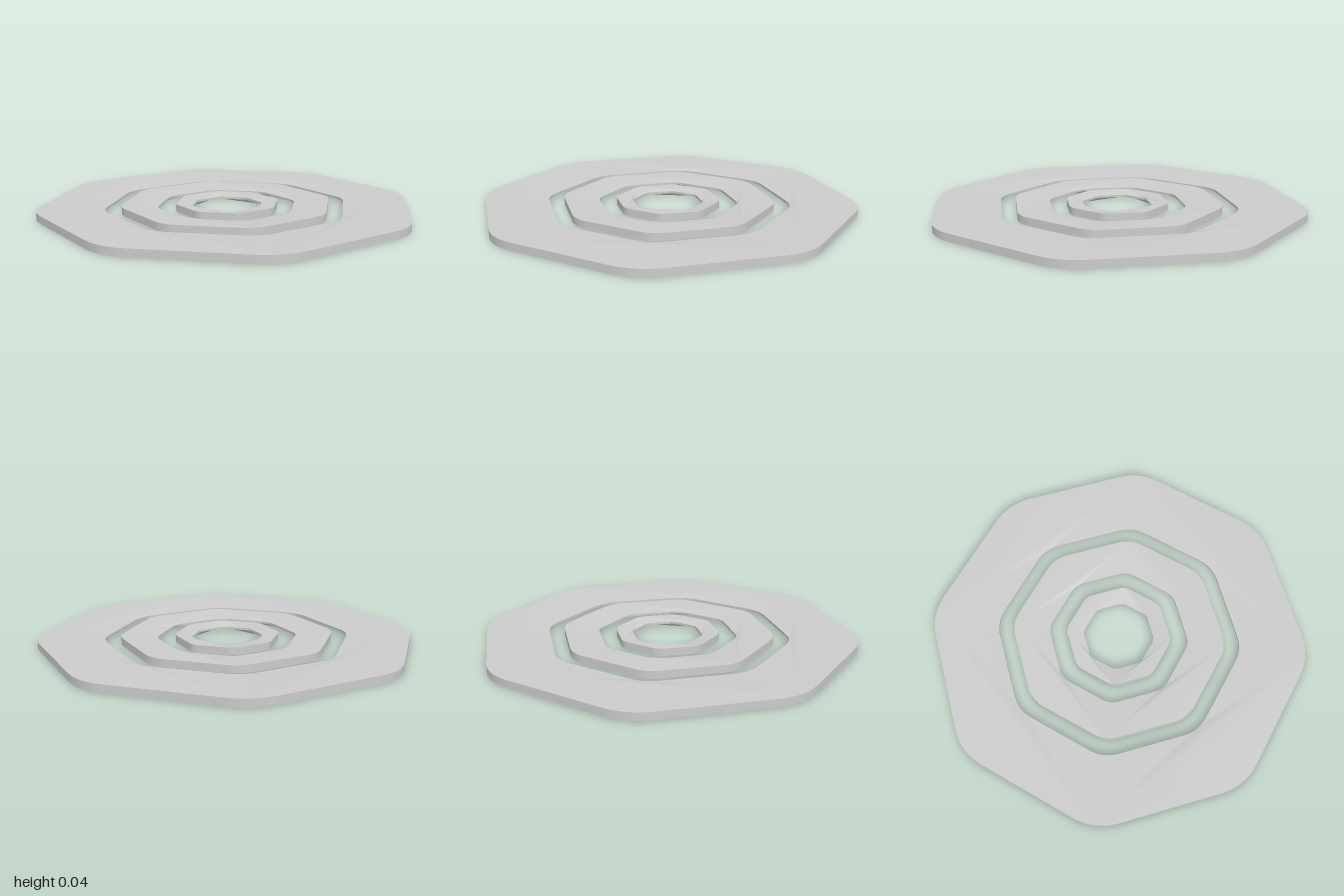
import * as THREE from 'three';

const HEIGHT = 0.04;   // thickness at the outer rim
const DROP = 0.014;    // how far the inner rim is pulled in from each face
const STEPS = 8;       // segments in each rounded corner
const PER = STEPS + 1;
const COUNT = 8 * PER;

// Octagon with rounded corners, counter-clockwise seen from above; r reaches the corner middles
function octagonLoop(r) {
  const R = r * 1.025;
  const corner = (k) => {
    const a = (k * Math.PI) / 4;
    return new THREE.Vector2(Math.sin(a) * R, Math.cos(a) * R);
  };
  const points = [];
  for (let k = 0; k < 8; k++) {
    const c = corner(k);
    const curve = new THREE.QuadraticBezierCurve(
      c.clone().lerp(corner(k - 1), 0.165), c, c.clone().lerp(corner(k + 1), 0.165));
    points.push(...curve.getPoints(STEPS));
  }
  return points;
}

function meshGeometry(positions, index) {
  const geometry = new THREE.BufferGeometry();
  geometry.setAttribute('position', new THREE.Float32BufferAttribute(positions, 3));
  geometry.setIndex(index);
  geometry.computeVertexNormals();
  return geometry;
}

const place = (loop, y) => loop.flatMap((p) => [p.x, y, p.y]);

// Upper or lower face: four flat tips outside a square, sloping from the square to the inner rim
function faceGeometry(outer, inner, yOuter, yInner, up) {
  const index = [];
  const tri = (a, b, c) => index.push(...(up ? [a, b, c] : [a, c, b]));
  const out = (i) => (i + COUNT) % COUNT;
  const inn = (i) => COUNT + out(i);
  for (let q = 0; q < 4; q++) {
    const tip = 2 * q * PER + STEPS / 2;
    const a = tip - PER, b = tip + PER;
    for (let i = a + 1; i < b; i++) tri(out(a), out(i), out(i + 1));
    for (let j = a; j < tip; j++) tri(out(a), inn(j + 1), inn(j));
    tri(out(a), out(b), inn(tip));
    for (let j = tip; j < b; j++) tri(out(b), inn(j + 1), inn(j));
  }
  return meshGeometry([...place(outer, yOuter), ...place(inner, yInner)], index);
}

// Upright wall along a loop, facing outward or toward the centre
function wallGeometry(loop, y0, y1, outward) {
  const index = [];
  for (let i = 0; i < COUNT; i++) {
    const n = (i + 1) % COUNT;
    if (outward) index.push(i, n, COUNT + n, i, COUNT + n, COUNT + i);
    else index.push(i, COUNT + n, n, i, COUNT + i, COUNT + n);
  }
  return meshGeometry([...place(loop, y0), ...place(loop, y1)], index);
}

export function createModel() {
  const model = new THREE.Group();
  model.name = 'nestedRings';
  const material = new THREE.MeshStandardMaterial({ color: 0xcccccc });

  // Three concentric rings: outer and inner radius
  const rings = [
    ['outerRing', 1.0, 0.65],
    ['middleRing', 0.566, 0.372],
    ['innerRing', 0.277, 0.187],
  ];
  for (const [name, rOuter, rInner] of rings) {
    const ring = new THREE.Group();
    ring.name = name;
    const outer = octagonLoop(rOuter);
    const inner = octagonLoop(rInner);
    const parts = {
      topFace: faceGeometry(outer, inner, HEIGHT, HEIGHT - DROP, true),
      bottomFace: faceGeometry(outer, inner, 0, DROP, false),
      outerWall: wallGeometry(outer, 0, HEIGHT, true),
      innerWall: wallGeometry(inner, DROP, HEIGHT - DROP, false),
    };
    for (const [part, geometry] of Object.entries(parts)) {
      const mesh = new THREE.Mesh(geometry, material);
      mesh.name = part;
      ring.add(mesh);
    }
    model.add(ring);
  }
  return model;
}
